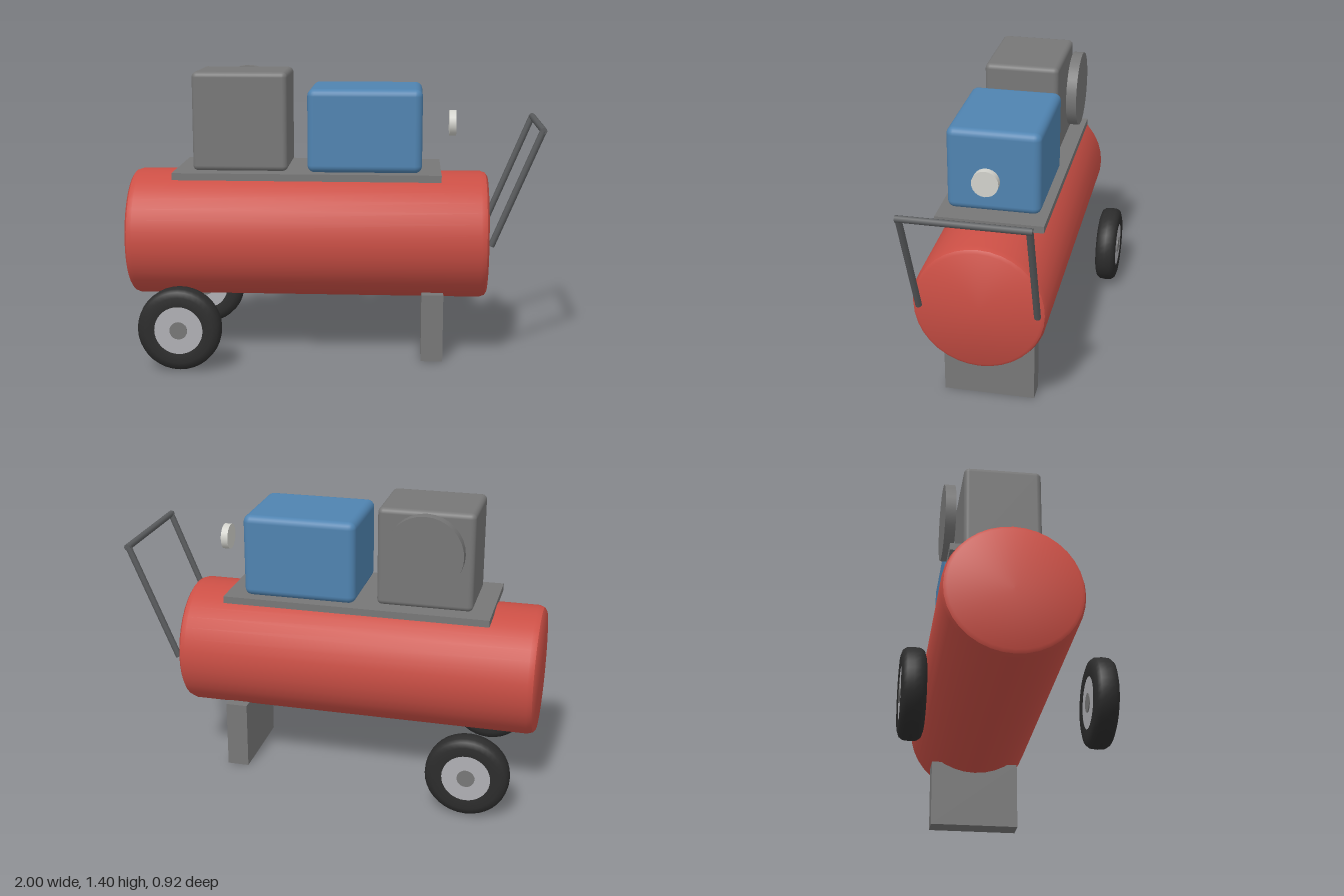
import * as THREE from 'three';
import { RoundedBoxGeometry } from 'three/addons/geometries/RoundedBoxGeometry.js';
import { toCreasedNormals } from 'three/addons/utils/BufferGeometryUtils.js';

const mat = (name, color) => Object.assign(new THREE.MeshStandardMaterial({ color }), { name });

export function createModel() {
  const red = mat('tank red', 0xcb4f45);
  const blue = mat('motor blue', 0x4f83b0);
  const grey = mat('metal grey', 0x777777);
  const dark = mat('handle grey', 0x5a5c5e);
  const rubber = mat('tyre black', 0x2c2c2c);
  const silver = mat('hub silver', 0xb0b0b4);
  const pale = mat('cap pale grey', 0xd2d2cc);

  const model = new THREE.Group();
  model.name = 'airCompressor';

  const add = (parent, name, geometry, material, x = 0, y = 0, z = 0) => {
    const mesh = new THREE.Mesh(geometry, material);
    mesh.name = name;
    mesh.position.set(x, y, z);
    parent.add(mesh);
    return mesh;
  };
  // Solid of revolution from [radius, height] pairs, about y
  const lathe = (points, segments, crease) => toCreasedNormals(
    new THREE.LatheGeometry(points.map(([r, h]) => new THREE.Vector2(r, h)), segments), crease);
  // Round bar between two points
  const bar = (parent, name, a, b, radius) => {
    const dir = b.clone().sub(a);
    const mesh = add(parent, name, new THREE.CylinderGeometry(radius, radius, dir.length(), 8), dark);
    mesh.position.copy(a).add(b).multiplyScalar(0.5);
    mesh.quaternion.setFromUnitVectors(new THREE.Vector3(0, 1, 0), dir.normalize());
  };

  // Tank lying along x, with rounded rims
  const half = 0.872;
  const tank = add(model, 'tank', lathe([
    [0, -half], [0.288, -half], [0.303, -half + 0.01], [0.312, -half + 0.035],
    [0.312, half - 0.035], [0.303, half - 0.01], [0.288, half], [0, half],
  ], 36, 0.6), red, -0.128, 0.593, 0);
  tank.rotation.z = -Math.PI / 2;

  // Mounting plate and front foot
  add(model, 'mountingPlate', new THREE.BoxGeometry(1.285, 0.034, 0.51), grey, -0.128, 0.908, 0);
  add(model, 'foot', new THREE.BoxGeometry(0.106, 0.333, 0.44), grey, 0.48, 0.1665, 0);

  // Pump with its flywheel at the back
  add(model, 'pump', new RoundedBoxGeometry(0.458, 0.475, 0.366, 3, 0.025), grey, -0.451, 1.1625, 0);
  const flywheel = add(model, 'flywheel', new THREE.CylinderGeometry(0.183, 0.183, 0.05, 32), grey, -0.46, 1.217, -0.24);
  flywheel.rotation.x = Math.PI / 2;

  // Motor and the round cap beside it
  add(model, 'motor', new RoundedBoxGeometry(0.547, 0.4, 0.44, 3, 0.035), blue, 0.1485, 1.125, 0);
  const cap = add(model, 'cap', new THREE.CylinderGeometry(0.062, 0.062, 0.034, 24), pale, 0.57, 1.145, 0);
  cap.rotation.z = Math.PI / 2;

  // Wheels
  const tyre = lathe([
    [0.115, -0.05], [0.16, -0.054], [0.185, -0.046], [0.197, -0.03], [0.2, 0],
    [0.197, 0.03], [0.185, 0.046], [0.16, 0.054], [0.115, 0.05], [0.115, -0.05],
  ], 36, 0.9);
  const hub = new THREE.CylinderGeometry(0.12, 0.12, 0.098, 24);
  const axleCap = new THREE.CylinderGeometry(0.042, 0.042, 0.106, 20);
  for (const side of [1, -1]) {
    const wheel = new THREE.Group();
    wheel.name = side > 0 ? 'frontWheel' : 'backWheel';
    wheel.position.set(-0.718, 0.205, side * 0.405);
    wheel.rotation.x = Math.PI / 2;
    add(wheel, 'tyre', tyre, rubber);
    add(wheel, 'hub', hub, silver);
    add(wheel, 'axleCap', axleCap, grey);
    model.add(wheel);
  }

  // Push handle: two sloping bars and a grip
  const handle = new THREE.Group();
  handle.name = 'handle';
  model.add(handle);
  for (const side of [1, -1]) {
    bar(handle, 'handleBar', new THREE.Vector3(0.752, 0.594, side * 0.273),
      new THREE.Vector3(0.98, 1.146, side * 0.279), 0.016);
  }
  bar(handle, 'handleGrip', new THREE.Vector3(0.981, 1.145, -0.292), new THREE.Vector3(0.981, 1.145, 0.292), 0.016);

  return model;
}
